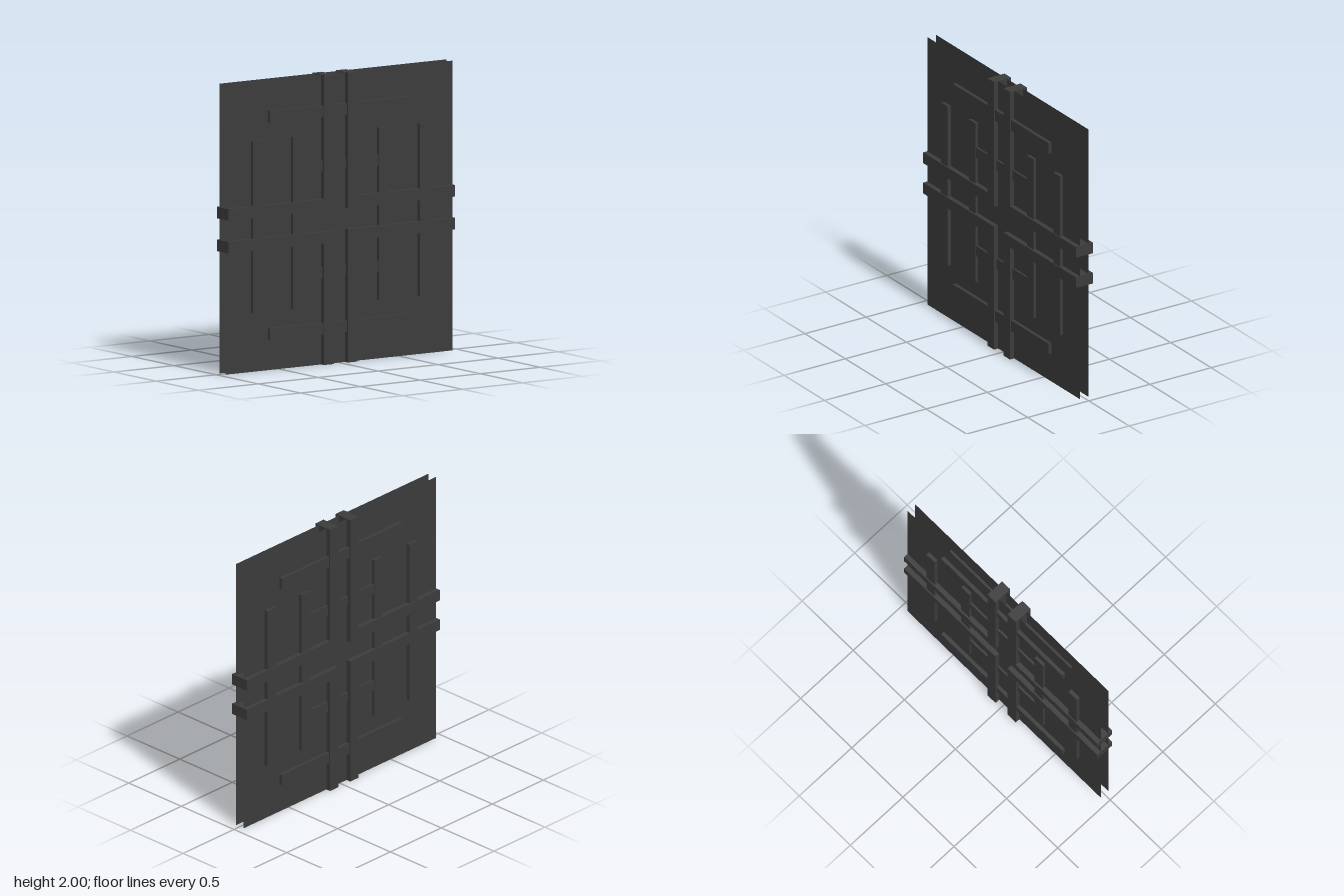
import * as THREE from 'three';

export function createModel() {
  const group = new THREE.Group();
  const material = new THREE.MeshStandardMaterial({ color: 0x3b3b3b, flatShading: true });
  const sheetMaterial = new THREE.MeshStandardMaterial({ color: 0x3b3b3b, side: THREE.DoubleSide });
  const add = (name, geometry, mat = material) => {
    const mesh = new THREE.Mesh(geometry, mat);
    mesh.name = name;
    group.add(mesh);
    return mesh;
  };

  // Bar given by its edges, passing through both sheets
  const bar = (name, x0, x1, y0, y1, halfDepth) =>
    add(name, new THREE.BoxGeometry(x1 - x0, y1 - y0, 2 * halfDepth))
      .position.set((x0 + x1) / 2, (y0 + y1) / 2, 0);

  // Two thin parallel sheets
  for (const [name, z] of [['frontSheet', 0.035], ['backSheet', -0.035]])
    add(name, new THREE.PlaneGeometry(1.89, 2), sheetMaterial).position.set(0, 1, z);

  // Four L-shaped corner frames, leaving a cross-shaped gap between them
  const W = 0.08, D = 0.14;
  for (const [cx, sx] of [[-0.068, -1], [0.05, 1]])
    for (const [cy, sy] of [[0.92, -1], [1.066, 1]]) {
      const ex = sx * 0.945, ey = sy > 0 ? 2 : 0;
      const points = [
        [cx, cy], [ex, cy], [ex, cy + sy * W],
        [cx + sx * W, cy + sy * W], [cx + sx * W, ey], [cx, ey],
      ].map(([x, y]) => new THREE.Vector2(x, y));
      const geometry = new THREE.ExtrudeGeometry(new THREE.Shape(points), { depth: D, bevelEnabled: false });
      add('cornerFrame', geometry.translate(0, 0, -D / 2));
    }

  // Short bars: outer pairs, inner uprights and their crossbars
  for (const s of [-1, 1]) {
    const x = s * 0.695, xi = s * 0.359;
    bar('outerUpright', x - 0.04, x + 0.04, 0.405, 1.595, 0.062);
    bar('innerUpright', xi - 0.04, xi + 0.04, 0.405, 1.595, 0.057);
    const y = 1 + s * 0.75, yi = 1.006 + s * 0.368;
    bar('outerCrossbar', -0.592, 0.592, y - 0.04, y + 0.04, 0.061);
    bar('innerCrossbar', -0.32, 0.32, yi - 0.038, yi + 0.038, 0.05);
  }
  return group;
}
